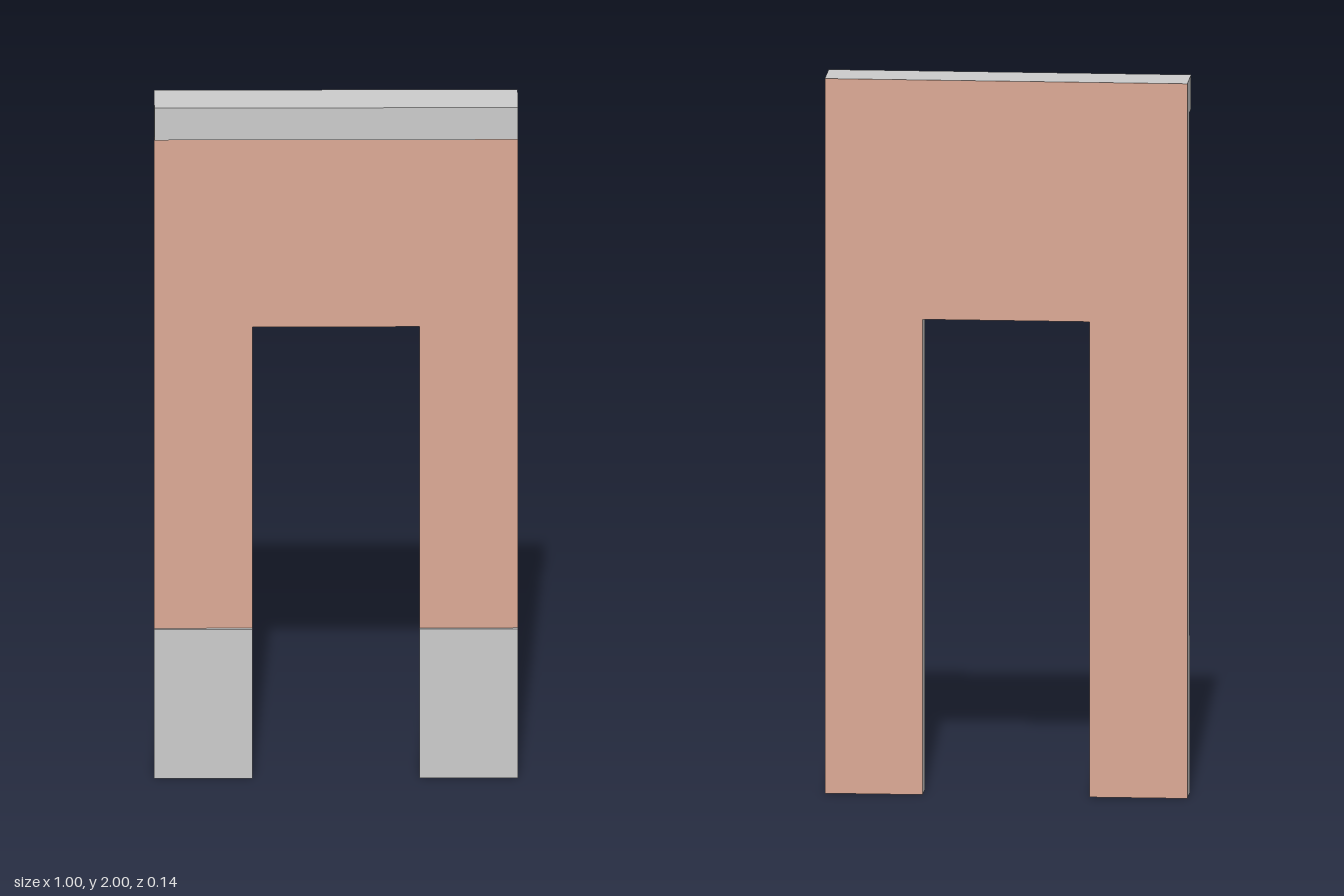
import * as THREE from 'three';

const W = 0.5, H = 2, BACK = -0.068, FACE = 0.01;
const OPEN_X = 0.23, OPEN_Y = 1.33;

export function createModel() {
  const group = new THREE.Group();
  const grey = new THREE.MeshStandardMaterial({ color: 0xcccccc });
  const clay = new THREE.MeshStandardMaterial({ color: 0xdcaa96 });

  // Wall slab with doorway: coloured front and back, grey edges
  const outline = new THREE.Shape([
    [-W, 0], [-OPEN_X, 0], [-OPEN_X, OPEN_Y], [OPEN_X, OPEN_Y],
    [OPEN_X, 0], [W, 0], [W, H], [-W, H],
  ].map(([x, y]) => new THREE.Vector2(x, y)));
  const wall = new THREE.Mesh(
    new THREE.ExtrudeGeometry(outline, { depth: FACE - BACK, bevelEnabled: false }),
    [clay, grey]
  );
  wall.position.z = BACK;
  wall.name = 'doorwayWall';
  group.add(wall);

  // Trim blocks fixed to the front of the wall
  const addTrim = (name, x0, x1, y0, y1, z1) => {
    const mesh = new THREE.Mesh(new THREE.BoxGeometry(x1 - x0, y1 - y0, z1 - FACE), grey);
    mesh.position.set((x0 + x1) / 2, (y0 + y1) / 2, (FACE + z1) / 2);
    mesh.name = name;
    group.add(mesh);
  };
  addTrim('cornice', -W, W, 1.905, H, 0.068);
  addTrim('rightPlinth', -W, -OPEN_X, 0, 0.44, 0.02);
  addTrim('leftPlinth', OPEN_X, W, 0, 0.44, 0.02);

  return group;
}
